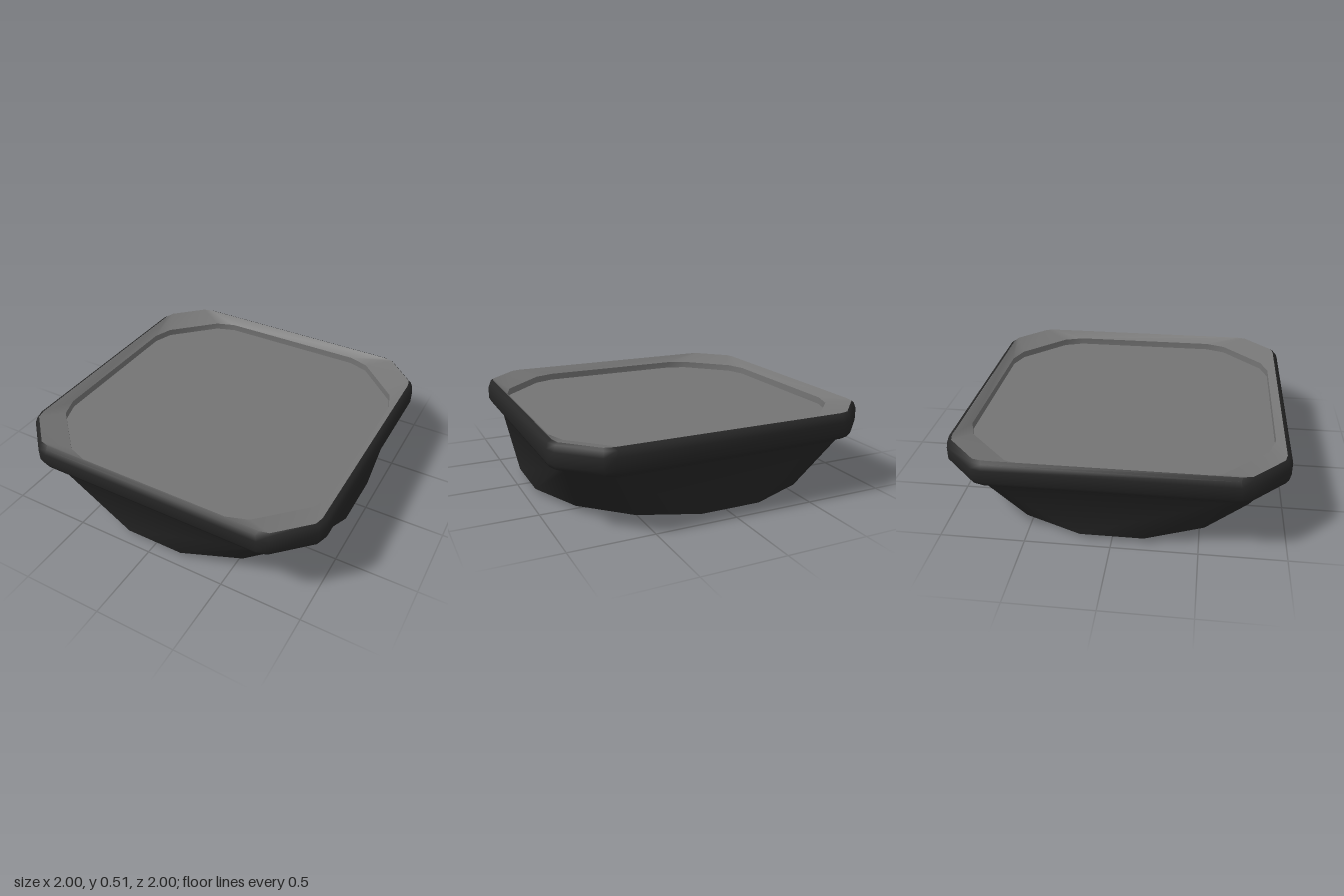
import * as THREE from 'three';
import { toCreasedNormals } from 'three/addons/utils/BufferGeometryUtils.js';

// Repeats one quadrant of four [x, z] points around the y axis: 16 points
function ring(quadrant) {
  const points = [];
  for (let q = 0; q < 4; q++) {
    for (const [x, z] of quadrant) {
      points.push([[x, z], [-z, x], [-x, -z], [z, -x]][q]);
    }
  }
  return points;
}

// Square with cut corners: mirrors two points across the quadrant's diagonal
const cutSquare = (x1, z1, x2, z2) => ring([[x1, z1], [x2, z2], [z2, x2], [z1, x1]]);
// Outer shape, where h is half its width
const outline = (h) => cutSquare(h, 0.715 * h, 0.98 * h, 0.78 * h);
// Inner edge of the rim, and the opening in the top with longer cut corners
const rimEdge = () => cutSquare(0.965, 0.715, 0.951, 0.77);
const opening = () => cutSquare(0.92, 0.485, 0.876, 0.612);
// Sixteen-sided circle with flats on the axes; a is the half width across flats
const round = (a) => {
  const r = a / Math.cos(Math.PI / 16);
  return ring([1, 3, 5, 7].map((k) => [r * Math.cos(k * Math.PI / 16), r * Math.sin(k * Math.PI / 16)]));
};

// Skins a list of [ring, height] sections
function loft(sections, crease) {
  const n = 16;
  const positions = [];
  const index = [];
  for (const [points, y] of sections) {
    for (const [x, z] of points) positions.push(x, y, z);
  }
  for (let s = 0; s < sections.length - 1; s++) {
    for (let i = 0; i < n; i++) {
      const a = s * n + i;
      const b = s * n + (i + 1) % n;
      index.push(a, a + n, b, b, a + n, b + n);
    }
  }
  const geometry = new THREE.BufferGeometry();
  geometry.setAttribute('position', new THREE.Float32BufferAttribute(positions, 3));
  geometry.setIndex(index);
  return toCreasedNormals(geometry, crease);
}

// Flat plate filling a ring
const flat = (points) => new THREE.ShapeGeometry(new THREE.Shape(points.map(([x, z]) => new THREE.Vector2(x, z))));

export function createModel() {
  const model = new THREE.Group();
  const black = new THREE.MeshStandardMaterial({ name: 'black housing', color: 0x262626 });
  const grey = new THREE.MeshStandardMaterial({ name: 'mid grey', color: 0x747474 });
  const lightGrey = new THREE.MeshStandardMaterial({ name: 'light grey metal', color: 0xc8c8c8 });

  const add = (name, geometry, material) => {
    const mesh = new THREE.Mesh(geometry, material);
    mesh.name = name;
    model.add(mesh);
    return mesh;
  };

  // Housing: round foot blending into the square, rounded rim
  const baseY = 0.025;
  add('housing', loft([
    [round(0.79), baseY + 0.01],
    [round(0.79), 0],
    [round(0.825), 0],
    [round(0.89), 0.03],
    [round(0.935), 0.03],
    [outline(0.93), 0.325],
    [outline(0.945), 0.345],
    [outline(0.985), 0.362],
    [outline(1), 0.39],
    [outline(1), 0.465],
    [outline(0.988), 0.5],
    [rimEdge(), 0.513],
  ], 0.9), black);

  // Gently sloping frame and the wall down to the recessed top plate
  const plateY = 0.423;
  add('topFrame', loft([[rimEdge(), 0.512], [opening(), 0.467]], 0.6), grey);
  add('topWall', loft([[opening(), 0.467], [opening(), plateY]], 0.6), grey);
  add('topPlate', flat(opening()).rotateX(-Math.PI / 2), grey).position.y = plateY;

  // Metal base plate
  add('basePlate', flat(round(0.8)).rotateX(Math.PI / 2), lightGrey).position.y = baseY;

  // Four screw holes on the base
  for (let i = 0; i < 4; i++) {
    const angle = i * Math.PI / 2;
    const hole = add('screwHole', new THREE.CircleGeometry(0.056, 24).rotateX(Math.PI / 2), black);
    hole.position.set(0.62 * Math.cos(angle), baseY - 0.003, 0.62 * Math.sin(angle));
  }

  // Raised boss in the middle of the base, with a grey sloping edge
  const boss = new THREE.CylinderGeometry(0.375, 0.305, 0.022, 48);
  add('baseBoss', boss, [grey, lightGrey, lightGrey]).position.y = baseY - 0.011;

  return model;
}
